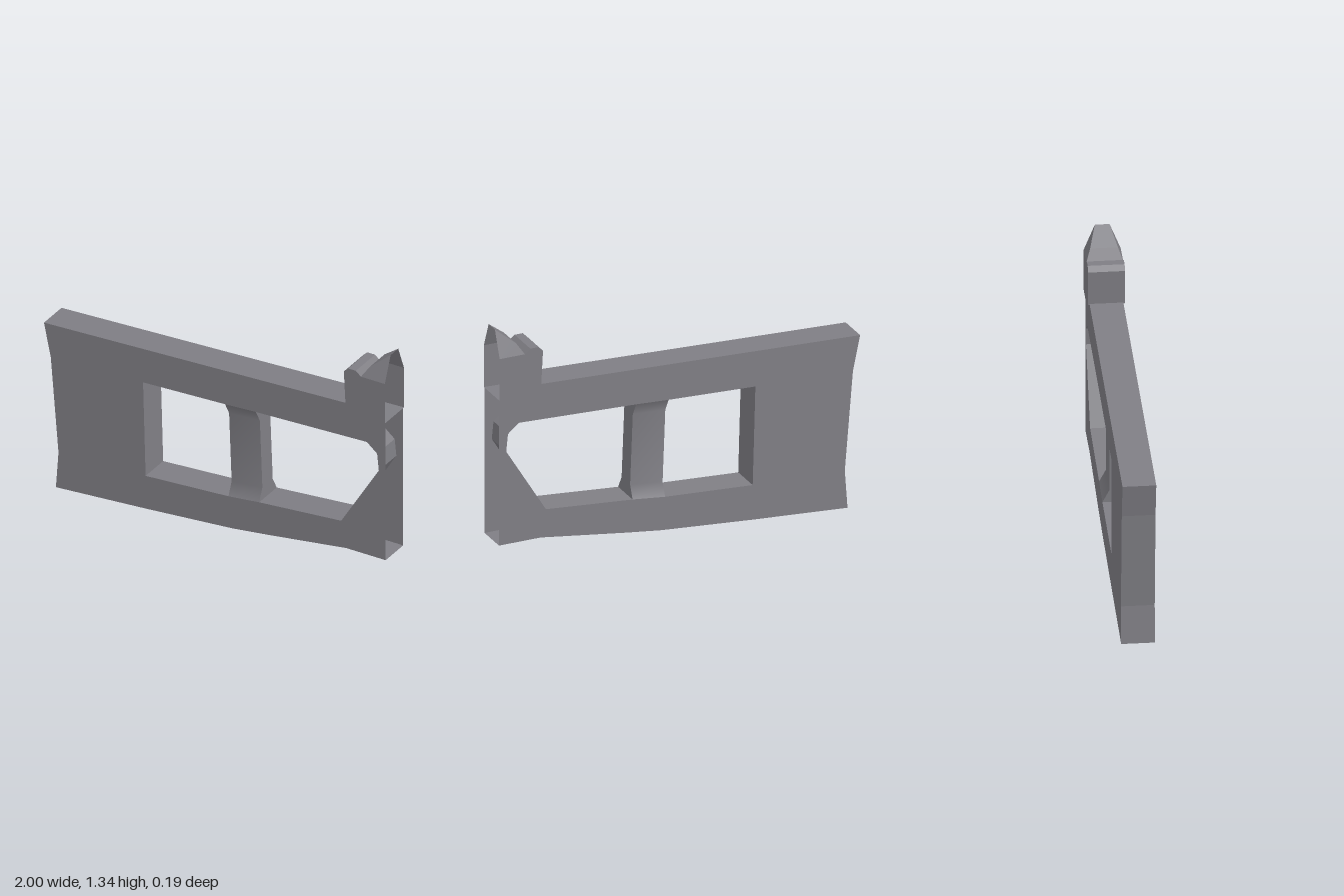
import * as THREE from 'three';

const Z = 0.085;   // half thickness of the panel
const TZ = 0.093;  // half thickness of the finial
const BZ = 0.05;   // half thickness of the waisted bar

const stone = new THREE.MeshStandardMaterial({ color: 0x7f7e84, side: THREE.DoubleSide });
stone.name = 'grey stone';

function add(group, name, geometry) {
  const mesh = new THREE.Mesh(geometry, stone);
  mesh.name = name;
  group.add(mesh);
  return mesh;
}

// Flat-shaded surface between two matching rows of points
function strip(a, b, smooth = false) {
  const index = [];
  for (let i = 0; i < a.length - 1; i++) {
    const n = a.length + i;
    index.push(i, n, i + 1, i + 1, n, n + 1);
  }
  let g = new THREE.BufferGeometry();
  g.setAttribute('position', new THREE.Float32BufferAttribute([...a, ...b].flat(), 3));
  g.setIndex(index);
  if (!smooth) g = g.toNonIndexed();
  g.computeVertexNormals();
  return g;
}

// Wall running across the thickness along a path in x and y
const wall = (path, z) => strip(path.map(([x, y]) => [x, y, z]), path.map(([x, y]) => [x, y, -z]));

// Front face and matching back face
function addFaces(group, name, outline, z, opening) {
  const toVec = (p) => new THREE.Vector2(p[0], p[1]);
  const shape = new THREE.Shape(outline.map(toVec));
  if (opening) shape.holes.push(new THREE.Path(opening.map(toVec)));
  const front = new THREE.ShapeGeometry(shape);
  front.translate(0, 0, z);
  add(group, name + 'Front', front);
  const back = new THREE.ShapeGeometry(shape);
  back.rotateY(Math.PI).scale(-1, 1, 1).translate(0, 0, -z);
  // The mirrored copy needs its corner order and normals to agree
  const idx = back.index.array;
  for (let i = 0; i < idx.length; i += 3) [idx[i], idx[i + 1]] = [idx[i + 1], idx[i]];
  back.computeVertexNormals();
  add(group, name + 'Back', back);
}

export function createModel() {
  const model = new THREE.Group();
  model.name = 'parapetPanel';

  // Panel: a hollow slab, open at the +x end
  const panel = new THREE.Group();
  panel.name = 'panel';
  model.add(panel);
  const rim = [
    [1, 0.17], [0.77, 0.17], [0.3, 0.105], [0.1, 0.08], [-0.4, 0.04], [-0.93, 0.003],
    [-0.915, 0.21], [-0.96, 0.75], [-1, 0.94], [0.77, 1.015],
  ];
  const seat = [[0.86, 0.965], [1, 0.97]];
  const smallWindow = [[0.06, 0.79], [-0.42, 0.77], [-0.405, 0.23], [0.08, 0.26]];
  const largeWindow = [[0.26, 0.28], [0.74, 0.32], [0.96, 0.68], [0.95, 0.775], [0.89, 0.825], [0.24, 0.8]];
  addFaces(panel, 'panel', [...rim, ...seat], Z, [...smallWindow, ...largeWindow]);
  add(panel, 'outerRim', wall(rim, Z));
  add(panel, 'smallWindowReveal', wall(smallWindow, Z));
  add(panel, 'largeWindowReveal', wall(largeWindow, Z));

  // Bar between the windows, thinner along its middle
  const bar = new THREE.Group();
  bar.name = 'windowBar';
  model.add(bar);
  const rows = [[0, Z], [0.13, BZ], [0.87, BZ], [1, Z]];
  const edge = (bottom, top, side) => rows.map(([t, z]) => [
    bottom[0] + (top[0] - bottom[0]) * t, bottom[1] + (top[1] - bottom[1]) * t, z * side,
  ]);
  const left = (s) => edge(smallWindow[3], smallWindow[0], s);
  const right = (s) => edge(largeWindow[0], largeWindow[5], s);
  add(bar, 'barFront', strip(right(1), left(1), true));
  add(bar, 'barBack', strip(left(-1), right(-1), true));
  add(bar, 'barSmallWindowSide', strip(left(1), left(-1)));
  add(bar, 'barLargeWindowSide', strip(right(-1), right(1)));

  // Finial block on the high corner, also open at the +x end
  const finial = new THREE.Group();
  finial.name = 'finial';
  model.add(finial);
  const block = [
    [1, 0.97], [0.86, 0.965], [0.77, 1.01], [0.76, 1.2], [0.785, 1.225], [0.83, 1.225], [0.86, 1.2],
  ];
  addFaces(finial, 'finialBlock', [...block, [1, 1.2]], TZ);
  add(finial, 'finialEdge', wall(block, TZ));

  // Tapering cap: a narrowing ridge with a sloped facet on each side
  const ridge = (s) => [[0.86, 1.2, TZ * s], [0.9, 1.26, 0.07 * s], [1, 1.34, 0.037 * s]];
  const base = (s) => [[0.86, 1.2, TZ * s], [0.91, 1.2, TZ * s], [1, 1.2, TZ * s]];
  add(finial, 'capRidge', strip(ridge(1), ridge(-1)));
  add(finial, 'capFrontSlope', strip(ridge(1), base(1), true));
  add(finial, 'capBackSlope', strip(base(-1), ridge(-1), true));

  return model;
}
